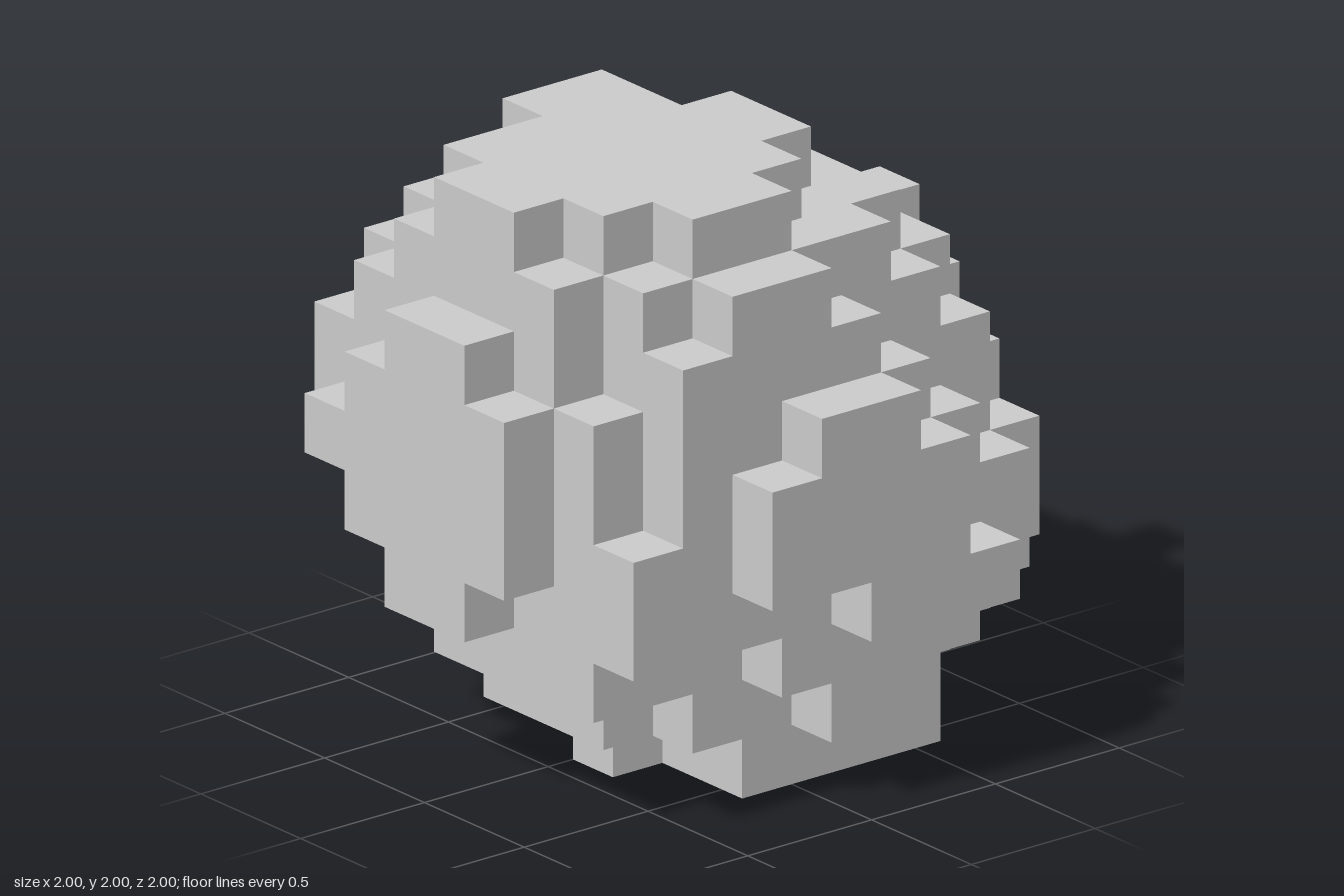
import * as THREE from 'three';

const CELL = 0.2;
const material = new THREE.MeshStandardMaterial({ color: 0xcccccc, flatShading: true });

// One stepped slab of the boulder. Rows run from back to front, starting at
// row `first`; each pair is the first and last grid line covered along x.
function createSlab(name, level, first, rows) {
  const points = [];
  const add = (x, row) => {
    const p = new THREE.Vector2(x * CELL - 1, 1 - row * CELL);
    const last = points[points.length - 1];
    if (!last || last.distanceTo(p) > 1e-6) points.push(p);
  };
  // Down the left edge, then back up the right edge
  rows.forEach(([left], i) => {
    add(left, first + i);
    add(left, first + i + 1);
  });
  for (let i = rows.length - 1; i >= 0; i--) {
    add(rows[i][1], first + i + 1);
    add(rows[i][1], first + i);
  }
  const geometry = new THREE.ExtrudeGeometry(new THREE.Shape(points), {
    depth: CELL,
    bevelEnabled: false,
  });
  geometry.rotateX(-Math.PI / 2);
  const mesh = new THREE.Mesh(geometry, material);
  mesh.name = name;
  mesh.position.y = level * CELL;
  return mesh;
}

export function createModel() {
  const boulder = new THREE.Group();
  boulder.name = 'blockBoulder';

  // Foot and lower body
  boulder.add(createSlab('foot', 0, 2, [[5, 8], [4, 8], [4, 8], [4, 8], [5, 6]]));
  boulder.add(createSlab('lowerStep', 1, 1,
    [[4, 7], [4, 8], [3, 9], [3, 9], [3, 8], [3, 8], [4, 7]]));
  boulder.add(createSlab('lowerBody', 2, 0,
    [[5, 7], [3, 8], [2, 9], [1, 9], [1, 9], [1, 9], [2, 8], [2, 8], [4, 8]]));

  // Wide middle
  boulder.add(createSlab('bellyBottom', 3, 0,
    [[4, 8], [2, 9], [1, 10], [1, 10], [1, 10], [1, 9], [1, 9], [1, 9], [3, 9], [4, 6]]));
  boulder.add(createSlab('bellyLow', 4, 0,
    [[3, 8], [2, 9], [1, 9], [1, 10], [1, 10], [0, 10], [0, 10], [1, 9], [2, 9], [3, 7]]));
  boulder.add(createSlab('bellyHigh', 5, 0,
    [[3, 7], [2, 8], [1, 9], [0, 10], [0, 10], [0, 10], [0, 10], [0, 9], [1, 8], [2, 7]]));
  boulder.add(createSlab('bellyTop', 6, 0,
    [[3, 6], [2, 8], [1, 8], [0, 9], [0, 10], [0, 10], [0, 9], [1, 9], [1, 8], [3, 7]]));

  // Shoulders and crown
  boulder.add(createSlab('shoulder', 7, 0,
    [[4, 5], [2, 7], [1, 8], [1, 8], [0, 9], [1, 9], [1, 9], [1, 9], [2, 7], [4, 6]]));
  boulder.add(createSlab('upperStep', 8, 2,
    [[3, 7], [1, 8], [1, 8], [1, 9], [2, 9], [2, 8], [3, 7]]));
  boulder.add(createSlab('crown', 9, 3,
    [[4, 6], [2, 7], [2, 8], [3, 8], [3, 7], [4, 6]]));

  return boulder;
}
